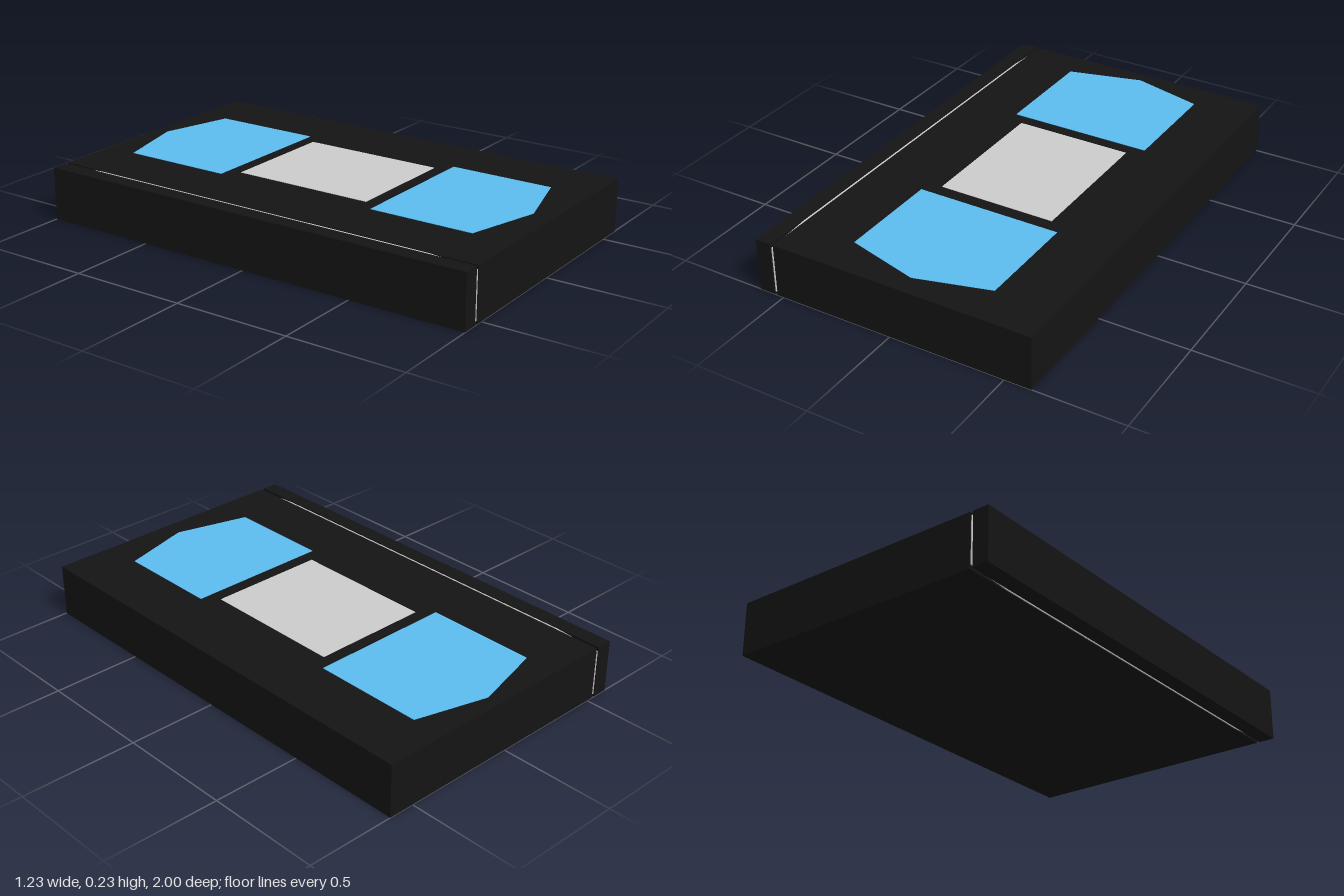
import * as THREE from 'three';
import { ConvexGeometry } from 'three/addons/geometries/ConvexGeometry.js';

const HEIGHT = 0.23, HALF_LENGTH = 1;

function makeMaterial(color) {
  return new THREE.MeshStandardMaterial({ color, flatShading: true });
}

export function createModel() {
  const model = new THREE.Group();
  model.name = 'slab';
  const black = makeMaterial(0x141414);
  const blue = makeMaterial(0x5bbcf0);
  const grey = makeMaterial(0xcccccc);

  function add(name, geometry, material) {
    const mesh = new THREE.Mesh(geometry, material);
    mesh.name = name;
    model.add(mesh);
    return mesh;
  }

  // Black block spanning x0 to x1 over the full length
  function block(name, x0, x1) {
    const geometry = new THREE.BoxGeometry(x1 - x0, HEIGHT, 2 * HALF_LENGTH);
    add(name, geometry, black).position.set((x0 + x1) / 2, HEIGHT / 2, 0);
  }
  block('mainBody', -0.53, 0.613);
  block('sideStrip', -0.613, -0.543);

  // Bevelled divider filling the seam between the two blocks
  const half = [0.0066, HEIGHT / 2, HALF_LENGTH];
  const inset = [0.3, 0.87, 0.8];
  const corners = [];
  for (const sx of [-1, 1]) for (const sy of [-1, 1]) for (const sz of [-1, 1]) {
    for (let full = 0; full < 3; full++) {
      const p = [sx, sy, sz].map((s, i) => s * half[i] * (i === full ? 1 : inset[i]));
      corners.push(new THREE.Vector3(...p));
    }
  }
  add('seamDivider', new ConvexGeometry(corners), grey).position.set(-0.5365, HEIGHT / 2, 0);

  // Thin inlay on the top face, outlined by [x, z] points
  function inlay(name, outline, material) {
    const shape = new THREE.Shape(outline.map(([x, z]) => new THREE.Vector2(x, -z)));
    const geometry = new THREE.ExtrudeGeometry(shape, { depth: 0.004, bevelEnabled: false });
    geometry.rotateX(-Math.PI / 2);
    add(name, geometry, material).position.y = HEIGHT - 0.002;
  }

  // Centre panel and the two pointed panels
  inlay('centrePanel', [[-0.215, 0.31], [0.297, 0.31], [0.297, -0.315], [-0.215, -0.315]], grey);
  const pointed = (inner, shoulder, tip) => [
    [-0.275, inner], [0.355, inner], [0.355, shoulder], [0.045, tip], [-0.275, shoulder],
  ];
  inlay('frontPanel', pointed(0.37, 0.825, 0.912), blue);
  inlay('backPanel', pointed(-0.373, -0.858, -0.943), blue);

  return model;
}
